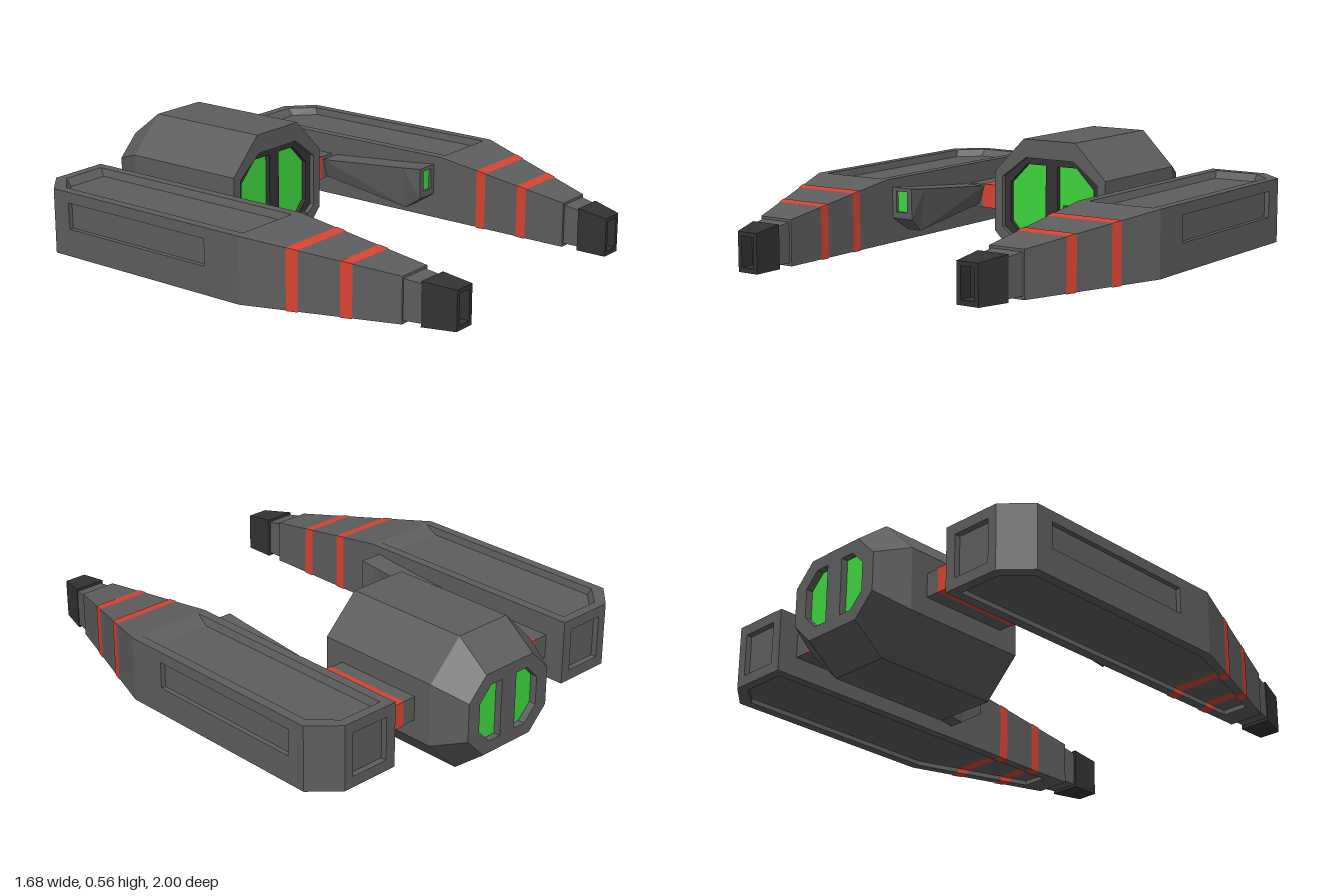
import * as THREE from 'three';
import { mergeGeometries } from 'three/addons/utils/BufferGeometryUtils.js';

const paint = (color) => new THREE.MeshStandardMaterial({ color });
const hull = paint(0x5e5e5e), dark = paint(0x333333), red = paint(0xd84432), green = paint(0x3fd73f);

// Flat-shaded geometry from planar convex polygons, corners counter-clockwise from outside
function polys(list) {
  const pos = [];
  for (const p of list)
    for (let i = 1; i < p.length - 1; i++) pos.push(...p[0], ...p[i], ...p[i + 1]);
  const g = new THREE.BufferGeometry();
  g.setAttribute('position', new THREE.Float32BufferAttribute(pos, 3));
  g.computeVertexNormals();
  return g;
}

// Skin over [z, points] sections of rising z
function loft(sections, capBack = false, capFront = false) {
  const rings = sections.map(([z, pts]) => pts.map(([x, y]) => [x, y, z]));
  const faces = [];
  for (let s = 0; s < rings.length - 1; s++) {
    const a = rings[s], b = rings[s + 1];
    a.forEach((_, i) => {
      const j = (i + 1) % a.length;
      faces.push([a[i], a[j], b[j], b[i]]);
    });
  }
  if (capBack) faces.push([...rings[0]].reverse());
  if (capFront) faces.push(rings[rings.length - 1]);
  return polys(faces);
}

const flat = (pts, holes = []) => {
  const v = (p) => p.map(([x, y]) => new THREE.Vector2(x, y));
  const shape = new THREE.Shape(v(pts));
  shape.holes = holes.map((h) => new THREE.Path(v(h)));
  const g = new THREE.ShapeGeometry(shape).toNonIndexed();
  g.deleteAttribute('uv');
  return g;
};

// Flat panel facing +z with sunken areas, then turned and moved into place
function panel(outline, holes, depth, [rx, ry] = [0, 0], at = [0, 0, 0], floors = holes) {
  const walls = [];
  holes.forEach((h, k) => h.forEach((p, i) => {
    const j = (i + 1) % h.length, f = floors[k];
    walls.push([[...p, 0], [...h[j], 0], [...f[j], -depth], [...f[i], -depth]]);
  }));
  const place = (g) => g.rotateX(rx).rotateY(ry).translate(...at);
  return {
    frame: place(mergeGeometries([flat(outline, holes), polys(walls)])),
    floor: place(mergeGeometries(floors.map((f) => flat(f).translate(0, 0, -depth)))),
  };
}

// Mirror across x = 0, keeping faces outward
function mirrored(g) {
  const m = g.clone().scale(-1, 1, 1), p = m.attributes.position;
  for (let i = 0; i < p.count; i += 3) {
    const b = new THREE.Vector3().fromBufferAttribute(p, i + 1);
    const c = new THREE.Vector3().fromBufferAttribute(p, i + 2);
    p.setXYZ(i + 1, c.x, c.y, c.z);
    p.setXYZ(i + 2, b.x, b.y, b.z);
  }
  m.computeVertexNormals();
  return m;
}

const rect = (x0, x1, y0, y1) => [[x0, y0], [x1, y0], [x1, y1], [x0, y1]];
const octagon = (w, h, cx, cy, y = 0.28) => [[-cx, -h], [cx, -h], [w, -cy], [w, cy],
  [cx, h], [-cx, h], [-w, cy], [-w, -cy]].map((p) => [p[0], p[1] + y]);
// Pair of half-octagon windows either side of a central bar
function windows(bar, w, h, cx, cy) {
  const r = [[bar, -h], [cx, -h], [w, -cy], [w, cy], [cx, h], [bar, h]].map((p) => [p[0], p[1] + 0.28]);
  return [r, r.map(([x, y]) => [-x, y]).reverse()];
}

export function createModel() {
  const model = new THREE.Group();
  const add = (name, geo, mat) => {
    const m = new THREE.Mesh(geo, mat);
    m.name = name;
    model.add(m);
  };
  const addPair = (name, geo, mat) => {
    add(name + 'Left', geo, mat);
    add(name + 'Right', mirrored(geo), mat);
  };

  // Central cabin with a glazed nose and two rear windows
  const big = octagon(0.28, 0.28, 0.13, 0.13), small = octagon(0.22, 0.17, 0.13, 0.08);
  const rim = octagon(0.24, 0.2, 0.12, 0.11);
  const nose = panel(big, [rim], 0.02, [0, 0], [0, 0, -0.305]);
  const glass = panel(rim, windows(0.03, 0.21, 0.17, 0.125, 0.085), 0.02, [0, 0], [0, 0, -0.325]);
  const rear = panel(small, windows(0.04, 0.16, 0.12, 0.1, 0.06), 0.03, [0, Math.PI], [0, 0, -1]);
  add('cabin', mergeGeometries([loft([[-1, small], [-0.86, big], [-0.305, big]]), nose.frame, rear.frame]), hull);
  add('windscreenFrame', glass.frame, dark);
  add('windscreen', glass.floor, green);
  add('rearWindows', rear.floor, green);

  // Struts joining the cabin to the booms, with a red collar
  const strut = (x0, x1, e) => loft([[-0.78 - e, rect(x0, x1, 0.23 - e, 0.33 + e)],
    [-0.39 + e, rect(x0, x1, 0.23 - e, 0.33 + e)]], true, true);
  addPair('strut', strut(0.26, 0.48, 0), hull);
  addPair('strutCollar', strut(0.34, 0.405, 0.002), red);

  // Booms: panelled box with a tapered front
  const IN = 0.475, OUT = 0.84, BOT = 0.145, TOP = 0.415, SINK = 0.02;
  const outerX = (z) => OUT - 0.35 * (z - 0.2);
  const topY = (z) => TOP - 0.14 * (z - 0.2);
  const tipX = outerX(0.8), tipY = topY(0.8);
  const top = panel(
    [[IN, -0.2], [OUT, -0.2], [OUT, 0.77], [0.73, 0.87], [IN, 0.87]],
    [[[0.515, -0.19], [0.8, -0.19], [0.8, 0.74], [0.71, 0.83], [0.515, 0.83]]], 0.03,
    [-Math.PI / 2, 0], [0, TOP, 0],
    [[[0.525, -0.13], [0.795, -0.13], [0.795, 0.725], [0.71, 0.805], [0.525, 0.805]]]);
  const bottom = panel(
    [[IN, -0.87], [0.73, -0.87], [OUT, -0.77], [OUT, 0.2], [tipX, 0.8], [IN, 0.8]],
    [[[0.515, -0.83], [0.71, -0.83], [0.8, -0.74], [0.8, 0.2], [outerX(0.7) - 0.04, 0.7], [0.515, 0.7]]],
    SINK, [Math.PI / 2, 0], [0, BOT, 0]);
  const side = panel(rect(-0.2, 0.77, BOT, TOP), [rect(-0.03, 0.69, 0.26, 0.37)], 0.02,
    [0, Math.PI / 2], [OUT, 0, 0]);
  const back = panel(rect(-0.73, -IN, BOT, TOP), [rect(-0.69, -0.52, 0.19, 0.37)], 0.025,
    [0, Math.PI], [0, 0, -0.87]);
  const plain = polys([
    [[IN, BOT, -0.87], [IN, BOT, 0.8], [IN, tipY, 0.8], [IN, TOP, 0.2], [IN, TOP, -0.87]],
    [[tipX, BOT, 0.8], [OUT, BOT, 0.2], [OUT, TOP, 0.2], [tipX, tipY, 0.8]],
    [[IN, TOP, 0.2], [IN, tipY, 0.8], [tipX, tipY, 0.8], [OUT, TOP, 0.2]],
    [[IN, BOT, 0.8], [tipX, BOT, 0.8], [tipX, tipY, 0.8], [IN, tipY, 0.8]],
    [[OUT, BOT, -0.77], [0.73, BOT, -0.87], [0.73, TOP, -0.87], [OUT, TOP, -0.77]],
  ]);
  addPair('boom', mergeGeometries([plain, ...[top, bottom, side, back].flatMap((p) => [p.frame, p.floor])]), hull);

  // Red stripes wrapping the taper and dipping into the belly recess
  for (const z of [0.4, 0.6]) {
    const e = 0.002;
    const section = (s) => {
      const o = outerX(s), r = o - 0.04 - e, l = 0.515 + e, f = BOT + SINK - e, b = BOT - e;
      return [s, [[IN - e, b], [l, b], [l, f], [r, f], [r, b], [o + e, b], [o + e, topY(s) + e], [IN - e, topY(s) + e]]];
    };
    addPair('boomStripe', loft([section(z - 0.022), section(z + 0.022)]), red);
  }

  // Neck and hollow muzzle at the boom tip
  addPair('neck', loft([[0.79, rect(0.485, 0.625, 0.158, 0.322)], [0.88, rect(0.485, 0.605, 0.158, 0.31)]]), hull);
  const mouth = rect(IN, 0.57, BOT, 0.305);
  const muzzle = panel(mouth, [rect(0.492, 0.553, 0.165, 0.288)], 0.06, [0, 0], [0, 0, 1]);
  addPair('muzzle', mergeGeometries([
    loft([[0.87, rect(IN, 0.61, BOT, 0.322)], [1, mouth]], true), muzzle.frame, muzzle.floor]), dark);

  // Lamp pods on the inner boom walls, with a chin below the lens
  const face = rect(0.375, 0.476, 0.25, 0.38);
  const wedge = (b, t) => [[0.4, b], [0.46, b], [0.476, t], [0.375, t]];
  const lamp = panel(face, [rect(0.4, 0.455, 0.277, 0.365)], 0.012, [0, 0], [0, 0, 0.16]);
  addPair('lampPod', mergeGeometries([
    loft([[-0.36, wedge(0.25, 0.33)], [0.07, wedge(0.19, 0.37)], [0.16, face]], true), lamp.frame]), hull);
  addPair('lampLens', lamp.floor, green);

  return model;
}
